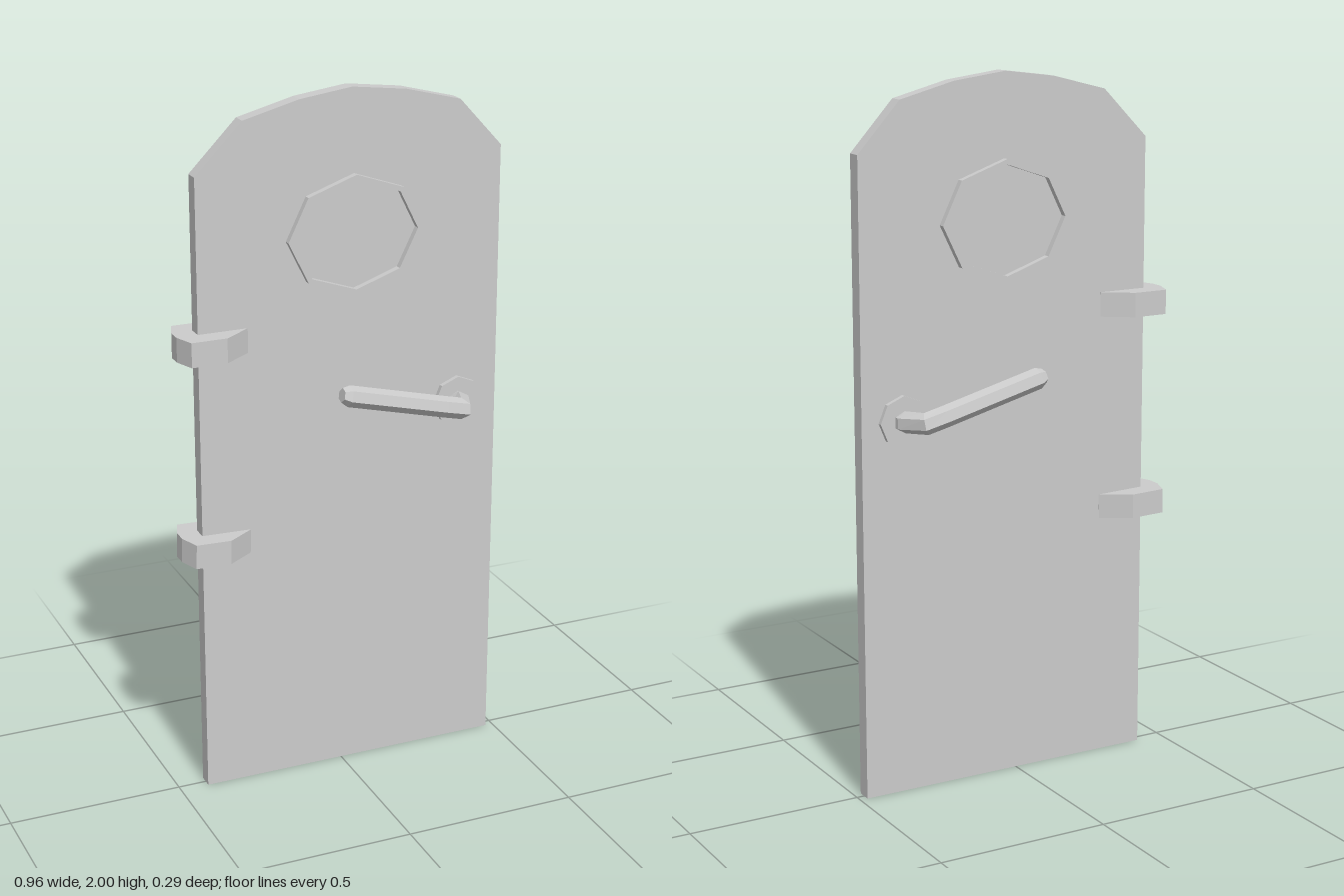
import * as THREE from 'three';

const material = new THREE.MeshStandardMaterial({ color: 0xcccccc, flatShading: true });

function part(name, geometry) {
  const mesh = new THREE.Mesh(geometry, material);
  mesh.name = name;
  return mesh;
}

const toPoints = (list) => list.map(([x, y]) => new THREE.Vector2(x, y));

// Flat outline given a depth, centred on its own plane
function slab(shape, depth) {
  return new THREE.ExtrudeGeometry(shape, { depth, bevelEnabled: false }).translate(0, 0, -depth / 2);
}

function polygon(sides, rx, ry, turn = 0) {
  return toPoints(Array.from({ length: sides }, (_, i) => {
    const a = turn + (i / sides) * Math.PI * 2;
    return [Math.cos(a) * rx, Math.sin(a) * ry];
  }));
}

// Bent lever: six-sided loops between an outer and an inner edge [along, z]
function leverGeometry(side) {
  const rings = [
    [[-0.405, 0.134], [-0.405, 0.091], 0.02],
    [[-0.385, 0.145], [-0.385, 0.083], 0.03],
    [[-0.085, 0.145], [-0.085, 0.083], 0.03],
    [[-0.01, 0.14], [-0.045, 0.083], 0.03],
    [[0.032, 0.05], [-0.032, 0.033], 0.03],
    [[0.032, 0], [-0.032, 0], 0.03],
  ];
  const sides = 6;
  const positions = [];
  const index = [];
  const tri = (a, b, c) => (side > 0 ? index.push(a, c, b) : index.push(a, b, c));
  rings.forEach(([outer, inner, half], r) => {
    for (let k = 0; k < sides; k++) {
      const a = (k / sides) * Math.PI * 2 - 0.26;
      const t = 0.5 + Math.cos(a) / 2;
      positions.push(
        inner[0] + (outer[0] - inner[0]) * t,
        Math.sin(a) * half,
        side * (inner[1] + (outer[1] - inner[1]) * t),
      );
      if (r === 0) continue;
      const n = (k + 1) % sides;
      const p = (r - 1) * sides;
      const q = r * sides;
      tri(p + k, p + n, q + k);
      tri(p + n, q + n, q + k);
    }
  });
  // Closed tip
  for (let k = 1; k < sides - 1; k++) tri(0, k + 1, k);
  const geometry = new THREE.BufferGeometry();
  geometry.setAttribute('position', new THREE.Float32BufferAttribute(positions, 3));
  geometry.setIndex(index);
  const flat = geometry.toNonIndexed();
  flat.computeVertexNormals();
  return flat;
}

export function createModel() {
  const door = new THREE.Group();
  door.name = 'door';

  // Panel with a faceted arched top
  const outline = new THREE.Shape(toPoints([
    [-0.418, 0], [0.478, 0], [0.478, 1.8], [0.352, 1.938],
    [0.19, 1.98], [0.032, 2], [-0.12, 1.98], [-0.282, 1.938], [-0.418, 1.8],
  ]));
  door.add(part('panel', slab(outline, 0.043)));

  // Octagonal window frame standing proud on both faces
  const frame = new THREE.Shape(polygon(8, 0.199, 0.168));
  frame.holes.push(new THREE.Path(polygon(8, 0.183, 0.153).reverse()));
  const windowFrame = part('windowFrame', slab(frame, 0.082));
  windowFrame.position.set(0.037, 1.597, 0);
  door.add(windowFrame);

  // Hinges wrapping the edge, the lower one slightly tilted
  const hingeOutline = new THREE.Shape(toPoints([
    [-0.478, -0.02], [-0.457, -0.079], [-0.355, -0.079], [-0.275, -0.022],
    [-0.275, 0.022], [-0.355, 0.079], [-0.457, 0.079], [-0.478, 0.02],
  ]));
  const hingeGeometry = slab(hingeOutline, 0.07).rotateX(Math.PI / 2).translate(0.377, 0, 0);
  for (const [name, y, tilt] of [['upperHinge', 1.334, 0], ['lowerHinge', 0.747, -0.03]]) {
    const hinge = part(name, hingeGeometry);
    hinge.position.set(-0.377, y, 0);
    hinge.rotation.z = tilt;
    door.add(hinge);
  }

  // Handle set: rosette through the panel and a lever on each face
  const handle = new THREE.Group();
  handle.name = 'handle';
  handle.position.set(0.355, 1.072, 0);
  handle.rotation.z = -0.25;
  handle.add(
    part('rosette', slab(new THREE.Shape(polygon(8, 0.072, 0.072, 0.25)), 0.071)),
    part('frontLever', leverGeometry(1)),
    part('backLever', leverGeometry(-1)),
  );
  door.add(handle);

  return door;
}
